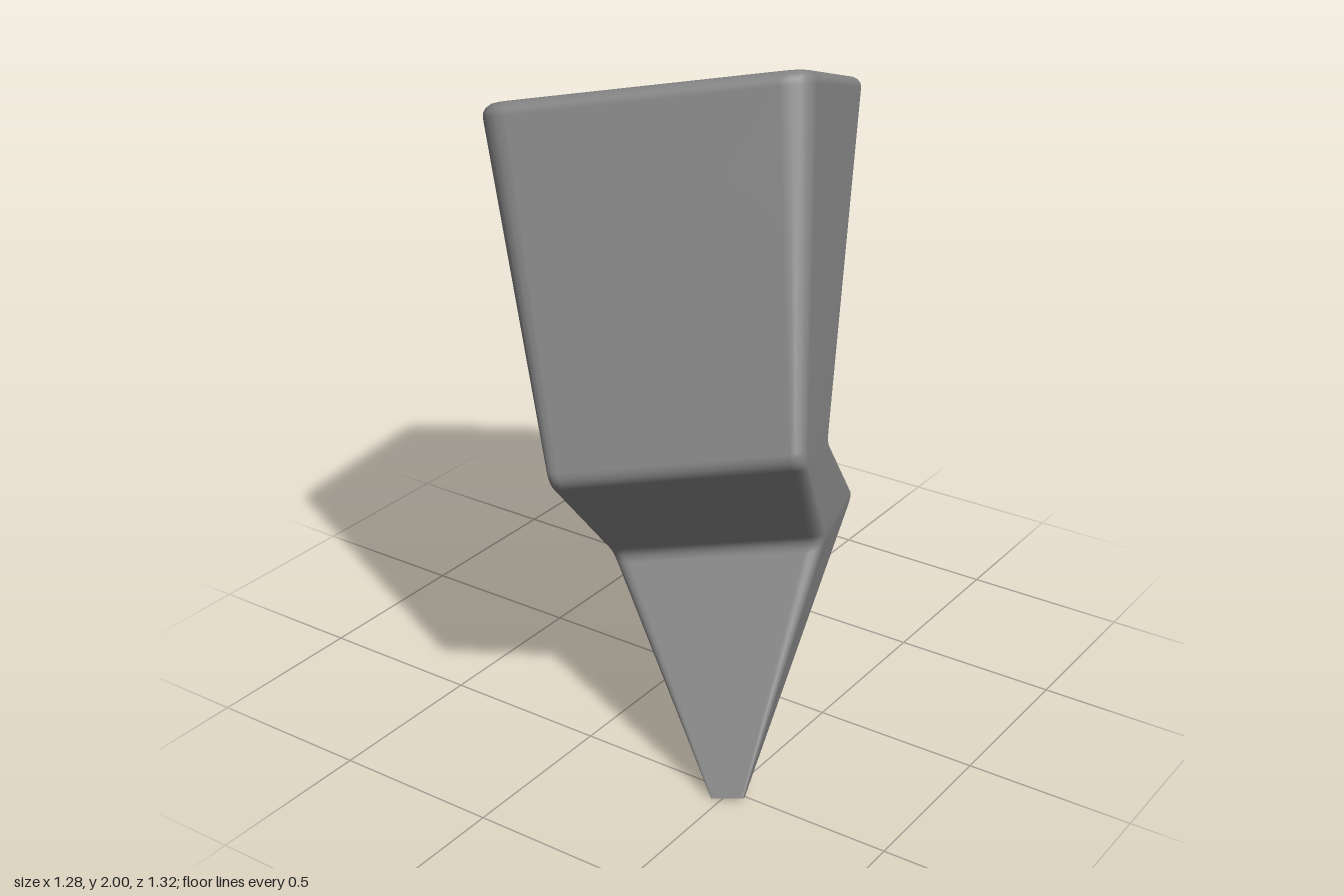
import * as THREE from 'three';

const V = (x, y, z) => new THREE.Vector3(x, y, z);

// Four-cornered sections down the bolt: front right, front left, back left, back right
const sections = [
  { c: [V(-0.375, 1.875, 0.48), V(0.468, 2.024, 0.1), V(0.18, 1.768, -0.697), V(-0.672, 1.608, -0.335)], round: 0.085 },
  { c: [V(0, 0.903, 0.68), V(0.656, 1.035, 0.398), V(0.528, 0.938, 0.053), V(-0.115, 0.828, 0.325)], round: 0.04 },
  { c: [V(-0.018, 0.548, 0.366), V(0.557, 0.655, 0.123), V(0.425, 0.61, -0.28), V(-0.178, 0.488, -0.03)], round: 0.045 },
  { c: [V(0.473, 0.002, 0.565), V(0.562, 0.018, 0.532), V(0.557, 0.012, 0.515), V(0.468, 0, 0.55)], round: 0.006 },
];

const step = (from, to, dist) => from.clone().add(to.clone().sub(from).setLength(dist));
const bezier = (a, b, c, t) => new THREE.QuadraticBezierCurve3(a, b, c).getPoint(t);
const ARC = 5;

// Closed loop round a quad, each corner softened by a short curve
function roundedLoop(corners, round) {
  const loop = [];
  corners.forEach((p, i) => {
    const a = step(p, corners[(i + 3) % 4], round);
    const b = step(p, corners[(i + 1) % 4], round);
    for (let k = 0; k <= ARC; k++) loop.push(bezier(a, p, b, k / ARC));
  });
  return loop;
}

function boltGeometry() {
  const loops = [];

  // Soft rim of the flat top
  const top = sections[0];
  const rim = 0.04;
  for (let k = 0; k <= 4; k++) {
    const angle = (k / 4) * Math.PI / 2;
    const inset = rim * (1 - Math.sin(angle));
    const drop = rim * (1 - Math.cos(angle));
    const corners = top.c.map((p, i) => {
      const q = p.clone();
      for (const n of [1, 3]) {
        const other = top.c[(i + n) % 4];
        q.add(other.clone().sub(p).setLength(inset));
      }
      return q.add(sections[1].c[i].clone().sub(p).setLength(drop));
    });
    loops.push(roundedLoop(corners, top.round - inset * 0.6));
  }

  // Two bends, each eased between the neighbouring sections
  const ease = 0.032;
  for (const s of [1, 2]) {
    for (let k = 0; k <= 4; k++) {
      const corners = sections[s].c.map((p, i) => bezier(
        step(p, sections[s - 1].c[i], ease), p, step(p, sections[s + 1].c[i], ease), k / 4));
      loops.push(roundedLoop(corners, sections[s].round));
    }
  }

  // Narrow tip
  const tip = sections[3];
  loops.push(roundedLoop(tip.c, tip.round));

  // Skin the loops and close both ends
  const n = loops[0].length;
  const points = loops.flat();
  const index = [];
  for (let r = 0; r < loops.length - 1; r++) {
    for (let i = 0; i < n; i++) {
      const j = (i + 1) % n;
      const a = r * n + i, b = r * n + j, c = a + n, d = b + n;
      index.push(c, d, b, c, b, a);
    }
  }
  const middle = (loop) => loop.reduce((sum, p) => sum.add(p), V(0, 0, 0)).divideScalar(n);
  const topMid = points.push(middle(loops[0])) - 1;
  const tipMid = points.push(middle(loops[loops.length - 1])) - 1;
  const last = (loops.length - 1) * n;
  for (let i = 0; i < n; i++) {
    const j = (i + 1) % n;
    index.push(topMid, i, j, tipMid, last + j, last + i);
  }

  const geometry = new THREE.BufferGeometry().setFromPoints(points);
  geometry.setIndex(index);
  geometry.computeVertexNormals();
  return geometry;
}

export function createModel() {
  const group = new THREE.Group();
  group.name = 'lightningBolt';
  const bolt = new THREE.Mesh(boltGeometry(), new THREE.MeshStandardMaterial({ color: 0x868686 }));
  bolt.name = 'bolt';
  group.add(bolt);
  return group;
}
